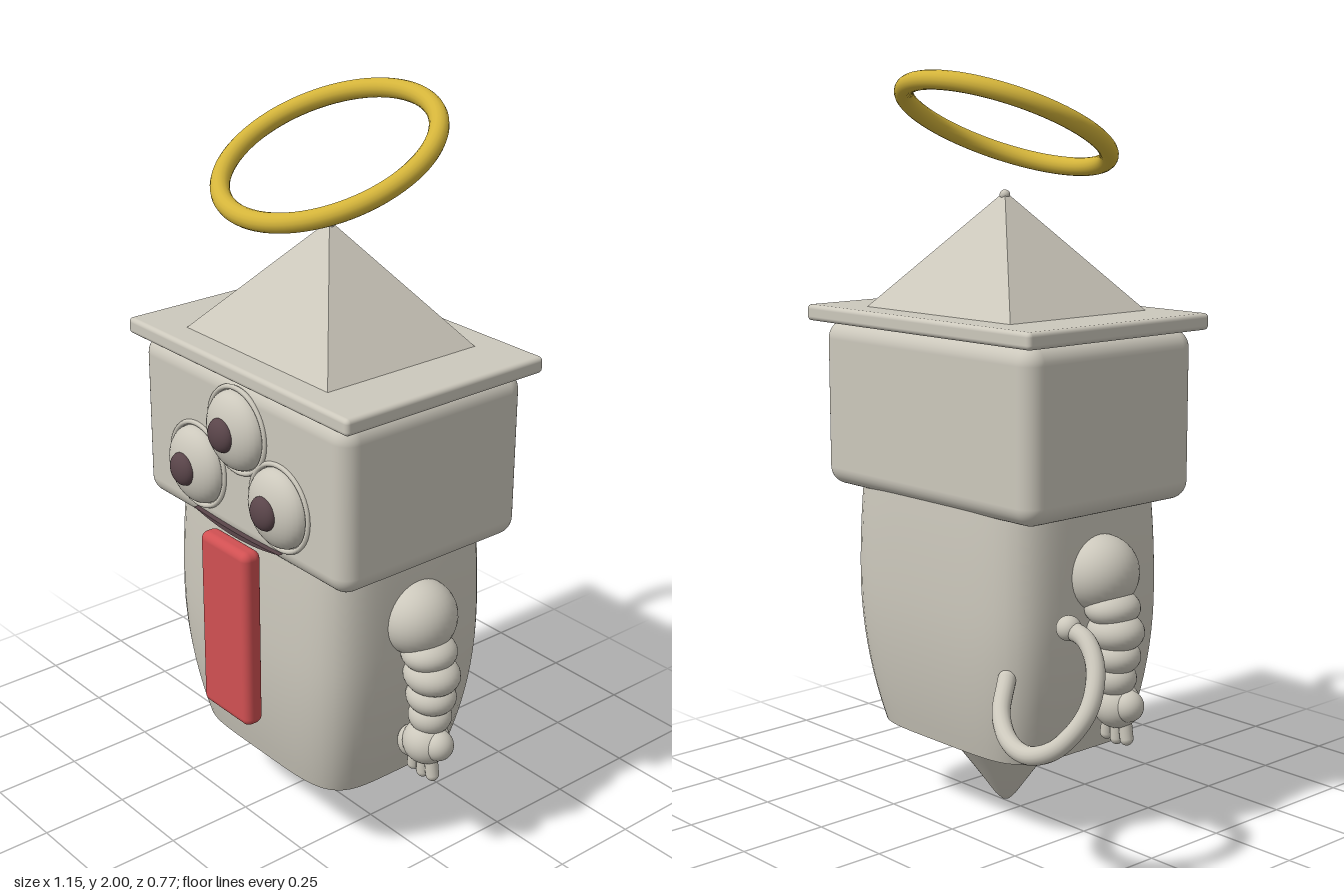
import * as THREE from 'three';
import { toCreasedNormals } from 'three/addons/utils/BufferGeometryUtils.js';
import { RoundedBoxGeometry } from 'three/addons/geometries/RoundedBoxGeometry.js';

const CX = 0.07, CZ = 0.008; // body axis

function material(name, color) {
  const m = new THREE.MeshStandardMaterial({ color });
  m.name = name;
  return m;
}

export function createModel() {
  const stone = material('stone grey', 0xccc8bc);
  const gold = material('gold', 0xd4b43a);
  const red = material('tongue red', 0xd05052);
  const dark = material('dark brown', 0x5a454a);
  const model = new THREE.Group();

  function add(parent, name, geometry, mat, x, y, z) {
    const mesh = new THREE.Mesh(geometry, mat);
    mesh.name = name;
    mesh.position.set(x, y, z);
    parent.add(mesh);
    return mesh;
  }
  function ball(parent, name, mat, x, y, z, rx, ry = rx, rz = rx) {
    const mesh = add(parent, name, new THREE.SphereGeometry(1, 32, 20), mat, x, y, z);
    mesh.scale.set(rx, ry, rz);
    return mesh;
  }

  // Halo, tipped down at the front
  const halo = add(model, 'halo', new THREE.TorusGeometry(0.283, 0.025, 16, 80), gold, CX, 1.862, 0.013);
  halo.rotation.x = Math.PI / 2 + 0.417;

  // Hat: pyramid with a blunt tip on a flat brim
  const pyramid = new THREE.CylinderGeometry(0.02, Math.SQRT2, 0.31, 4).rotateY(Math.PI / 4);
  pyramid.scale(0.29, 1, 0.245);
  add(model, 'hatPyramid', toCreasedNormals(pyramid, 0.5), stone, CX, 1.53, CZ);
  ball(model, 'hatTip', stone, CX, 1.68, CZ, 0.014);
  add(model, 'hatBrim', new RoundedBoxGeometry(0.895, 0.044, 0.645, 3, 0.012), stone, CX, 1.357, 0.003);

  // Head
  add(model, 'head', new RoundedBoxGeometry(0.838, 0.455, 0.597, 5, 0.05), stone, CX, 1.11, CZ);

  // Three eyes, each a shallow dome with a rim and a pupil
  for (const [x, y] of [[0, 1.2], [-0.17, 1.047], [0.17, 1.047]]) {
    const eye = new THREE.Group();
    eye.name = 'eye';
    eye.position.set(CX + x, y, 0.308);
    model.add(eye);
    ball(eye, 'eyeball', stone, 0, 0, 0, 0.106, 0.106, 0.056);
    add(eye, 'eyeRim', new THREE.TorusGeometry(0.114, 0.007, 8, 48), stone, 0, 0, 0);
    ball(eye, 'pupil', dark, 0, 0, 0.05, 0.045, 0.045, 0.026);
  }

  // Mouth: thin smile, with the tongue hanging from it
  const smile = new THREE.Shape();
  smile.moveTo(-0.18, 0.922);
  smile.quadraticCurveTo(0, 0.882, 0.18, 0.922);
  smile.quadraticCurveTo(0, 0.908, -0.18, 0.922);
  add(model, 'mouth', new THREE.ExtrudeGeometry(smile, { depth: 0.016, bevelEnabled: false, curveSegments: 20 }),
    dark, CX, 0, 0.303);
  add(model, 'tongue', new RoundedBoxGeometry(0.198, 0.512, 0.058, 4, 0.022), red, CX, 0.643, 0.336);

  // Torso: barrel with a rounded-square section, narrowing to the bottom
  const torso = new THREE.CylinderGeometry(1, 1, 0.68, 80, 16);
  const p = torso.attributes.position;
  for (let i = 0; i < p.count; i++) {
    const x = p.getX(i), z = p.getZ(i), t = p.getY(i) / 0.68 + 0.5;
    const r = Math.hypot(x, z);
    if (r < 1e-6) continue;
    const square = Math.pow(Math.abs(x / r) ** 5 + Math.abs(z / r) ** 5, -0.2);
    const bulge = 1 - (t < 0.6 ? 0.47 : 0.2) * (t - 0.6) ** 2;
    p.setX(i, x * square * bulge * 0.37);
    p.setZ(i, z * square * bulge * 0.288);
  }
  add(model, 'torso', toCreasedNormals(torso, 0.6), stone, CX, 0.562, CZ);

  // Pointed foot
  const foot = [[0, 0], [0.012, 0.004], [0.03, 0.022], [0.09, 0.105], [0.15, 0.185], [0.178, 0.222], [0.178, 0.24]];
  add(model, 'pointedFoot', new THREE.LatheGeometry(foot.map(([r, y]) => new THREE.Vector2(r, y)), 48),
    stone, CX, 0, CZ);

  // Arms: stacked swellings, a hand, a knob and three fingers
  for (const side of [1, -1]) {
    const arm = new THREE.Group();
    arm.name = side > 0 ? 'leftArm' : 'rightArm';
    arm.position.set(CX, 0, 0.01);
    model.add(arm);
    ball(arm, 'shoulder', stone, side * 0.365, 0.72, 0, 0.1, 0.102, 0.106);
    const segments = [
      [0.41, 0.635, 0.072, 0.05, 0.076], [0.422, 0.575, 0.08, 0.055, 0.072],
      [0.422, 0.51, 0.07, 0.05, 0.064], [0.42, 0.45, 0.06, 0.05, 0.056],
    ];
    for (const [x, y, rx, ry, rz] of segments) ball(arm, 'armSegment', stone, side * x, y, 0, rx, ry, rz);
    ball(arm, 'hand', stone, side * 0.42, 0.375, 0.01, 0.065, 0.062, 0.063);
    ball(arm, 'outerKnob', stone, side * 0.462, 0.38, 0.008, 0.042);
    ball(arm, 'thumb', stone, side * 0.375, 0.36, 0.025, 0.034, 0.045, 0.036);
    for (const k of [-1, 0, 1]) {
      const finger = add(arm, 'finger', new THREE.CapsuleGeometry(0.018, 0.06, 6, 16), stone,
        side * 0.415 + k * 0.032, k ? 0.317 : 0.312, 0.015);
      finger.rotation.z = k * 0.15;
    }
  }

  // Curling tail with a ball at its end
  const path = [
    [-0.22, 0.47, -0.25], [-0.27, 0.4, -0.315], [-0.35, 0.355, -0.355], [-0.43, 0.347, -0.363],
    [-0.51, 0.385, -0.345], [-0.553, 0.47, -0.29], [-0.53, 0.56, -0.24], [-0.475, 0.62, -0.218],
    [-0.415, 0.64, -0.22],
  ].map(([x, y, z]) => new THREE.Vector3(x, y, z));
  add(model, 'tail', new THREE.TubeGeometry(new THREE.CatmullRomCurve3(path), 64, 0.024, 16), stone, 0, 0, 0);
  ball(model, 'tailRoot', stone, -0.22, 0.47, -0.25, 0.024);
  ball(model, 'tailBall', stone, -0.415, 0.64, -0.22, 0.032);

  return model;
}
